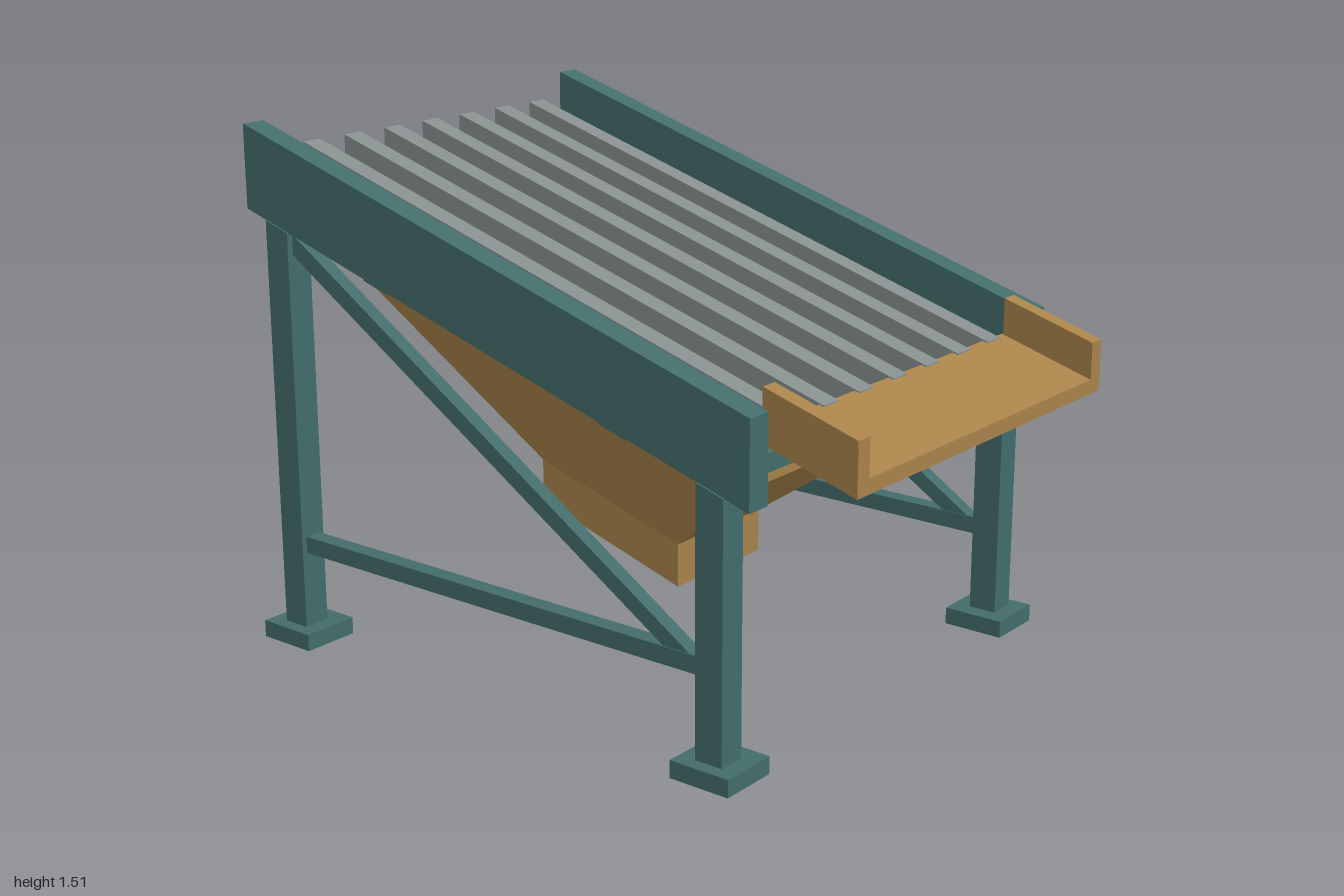
import * as THREE from 'three';

const SLOPE = -0.301; // fall of the deck towards the front
const at = (z, offset) => offset + SLOPE * z;

const teal = new THREE.MeshStandardMaterial({ color: 0x426c6b });
const tan = new THREE.MeshStandardMaterial({ color: 0xa8824a });
const grey = new THREE.MeshStandardMaterial({ color: 0x868e8e });

export function createModel() {
  const model = new THREE.Group();

  function add(name, geometry, material) {
    const mesh = new THREE.Mesh(geometry, material);
    mesh.name = name;
    model.add(mesh);
    return mesh;
  }

  // Side outline of [z, y] points, extruded from x0 to x1
  function prism(name, material, x0, x1, points) {
    const shape = new THREE.Shape(points.map(([z, y]) => new THREE.Vector2(z, y)));
    const g = new THREE.ExtrudeGeometry(shape, { depth: x1 - x0, bevelEnabled: false });
    g.rotateY(-Math.PI / 2);
    g.translate(x1, 0, 0);
    return add(name, g, material);
  }

  // Bar parallel to the deck, with upright ends
  function sloped(name, material, x0, x1, zBack, zFront, low, high) {
    return prism(name, material, x0, x1, [
      [zBack, at(zBack, low)], [zFront, at(zFront, low)],
      [zFront, at(zFront, high)], [zBack, at(zBack, high)],
    ]);
  }

  // Hollow rectangular part: rings of [halfWidth, zFront, zBack, offset], joined in a closed loop
  function hollow(name, rings) {
    const corners = rings.map(([w, f, b, o]) =>
      [[w, f], [w, b], [-w, b], [-w, f]].map(([x, z]) => [x, at(z, o), z]));
    const pos = [];
    corners.forEach((ring, i) => {
      const next = corners[(i + 1) % corners.length];
      for (let k = 0; k < 4; k++) {
        const m = (k + 1) % 4;
        const [a, b, c, d] = [ring[k], next[k], next[m], ring[m]];
        pos.push(...a, ...b, ...c, ...a, ...c, ...d);
      }
    });
    const g = new THREE.BufferGeometry();
    g.setAttribute('position', new THREE.Float32BufferAttribute(pos, 3));
    g.computeVertexNormals();
    return add(name, g, tan);
  }

  // Parts found on both sides
  for (const [side, s] of [['left', 1], ['right', -1]]) {
    const span = (a, b) => (s > 0 ? [a, b] : [-b, -a]);

    sloped(`${side}SideBeam`, teal, ...span(0.63, 0.705), -1, 0.76, 0.969, 1.209);

    // Legs with feet
    for (const [end, zb, zf] of [['Front', 0.6, 0.685], ['Back', -0.92, -0.835]]) {
      prism(`${side}${end}Leg`, teal, ...span(0.628, 0.71),
        [[zb, 0.04], [zf, 0.04], [zf, at(zf, 0.97)], [zb, at(zb, 0.97)]]);
      const foot = add(`${side}${end}Foot`, new THREE.BoxGeometry(0.175, 0.05, 0.185), teal);
      foot.position.set(s * 0.6625, 0.025, (zb + zf) / 2);
    }

    // Bracing between the legs
    prism(`${side}LowerRail`, teal, ...span(0.644, 0.694),
      [[-0.84, 0.275], [0.605, 0.275], [0.605, 0.325], [-0.84, 0.325]]);
    prism(`${side}DiagonalBrace`, teal, ...span(0.647, 0.691),
      [[-0.84, 1.158], [0.49, 0.32], [0.575, 0.32], [-0.84, 1.218]]);

    // Brackets carrying the hopper
    sloped(`${side}FrontBracket`, teal, ...span(0.56, 0.66), 0.25, 0.34, 0.935, 1.0);
    sloped(`${side}BackBracket`, teal, ...span(0.56, 0.66), -0.59, -0.5, 0.935, 1.0);

    sloped(`${side}ChuteWall`, tan, ...span(0.55, 0.6), 0.72, 1, 1.1, 1.246);
  }

  // Cross members and the bars lying on them
  sloped('backCrossMember', teal, -0.64, 0.64, -0.97, -0.91, 1.028, 1.078);
  sloped('frontCrossMember', teal, -0.64, 0.64, 0.66, 0.73, 1.028, 1.078);
  for (let i = -3; i <= 3; i++) {
    const x = i * 0.16;
    sloped(`screenBar${i + 4}`, grey, x - 0.0325, x + 0.0325, -0.97, 0.73, 1.078, 1.145);
  }

  sloped('chuteFloor', tan, -0.552, 0.552, 0.715, 1, 1.1, 1.141);

  // Hopper: flange, funnel and spout
  hollow('hopperRim', [
    [0.6, 0.71, -0.94, 1.028], [0.6, 0.71, -0.94, 0.988],
    [0.56, 0.67, -0.9, 0.988], [0.56, 0.67, -0.9, 1.028],
  ]);
  hollow('hopperFunnel', [
    [0.59, 0.7, -0.93, 0.99], [0.19, 0.135, -0.365, 0.416],
    [0.163, 0.105, -0.337, 0.416], [0.56, 0.67, -0.9, 0.99],
  ]);
  hollow('hopperSpout', [
    [0.19, 0.135, -0.365, 0.417], [0.19, 0.135, -0.365, 0.29],
    [0.163, 0.105, -0.337, 0.29], [0.163, 0.105, -0.337, 0.417],
  ]);

  return model;
}
